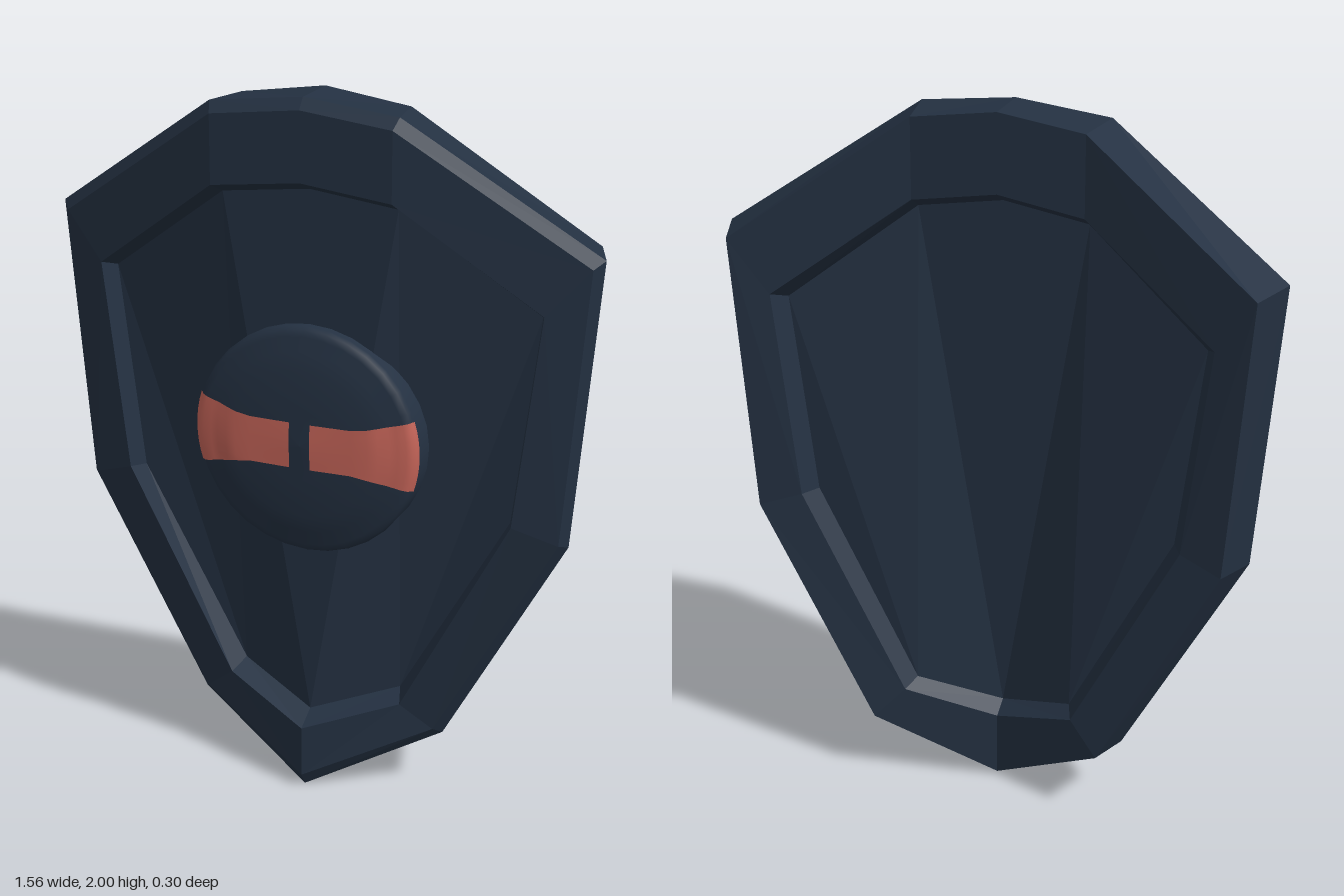
import * as THREE from 'three';

const navy = new THREE.MeshStandardMaterial({ color: 0x243142 });
navy.name = 'darkNavy';
const red = new THREE.MeshStandardMaterial({ color: 0xc8665a });
red.name = 'softRed';

// Half outlines of the shield, running from top centre round its left side to the bottom tip
const rings = {
  panelFront: [[0, 1.75, 0.08], [0.25, 1.72, 0.08], [0.62, 1.45, -0.01], [0.55, 0.86, -0.01], [0.24, 0.3, -0.01], [0, 0.225, 0.08]],
  rimInner: [[0, 1.78, 0.145], [0.255, 1.75, 0.145], [0.64, 1.47, 0.05], [0.57, 0.87, 0.05], [0.26, 0.275, 0.05], [0, 0.19, 0.145]],
  rimFront: [[0, 1.97, 0.145], [0.255, 1.94, 0.145], [0.755, 1.6, 0.02], [0.695, 0.825, 0.02], [0.35, 0.2, 0.02], [0, 0.04, 0.145]],
  rimEdge: [[0, 2, 0.12], [0.265, 1.97, 0.12], [0.78, 1.62, -0.01], [0.715, 0.815, -0.01], [0.37, 0.18, -0.01], [0, 0, 0.12]],
  rimBack: [[0, 2, -0.03], [0.24, 1.965, -0.03], [0.73, 1.615, -0.15], [0.67, 0.83, -0.15], [0.335, 0.2, -0.15], [0, 0.01, -0.03]],
  backInner: [[0, 1.78, -0.03], [0.24, 1.74, -0.03], [0.62, 1.46, -0.125], [0.55, 0.87, -0.125], [0.25, 0.29, -0.12], [0, 0.2, -0.03]],
  panelBack: [[0, 1.75, 0.02], [0.24, 1.71, 0.02], [0.59, 1.44, -0.07], [0.52, 0.87, -0.07], [0.23, 0.31, -0.07], [0, 0.23, 0.02]],
};

// Makes a faceted mesh from triangles, each mirrored across x = 0
function mirroredMesh(name, triangles) {
  const pos = [];
  for (const [a, b, c] of triangles) {
    pos.push(...a, ...b, ...c);
    for (const p of [a, c, b]) pos.push(-p[0], p[1], p[2]);
  }
  const geo = new THREE.BufferGeometry();
  geo.setAttribute('position', new THREE.Float32BufferAttribute(pos, 3));
  geo.computeVertexNormals();
  const mesh = new THREE.Mesh(geo, navy);
  mesh.name = name;
  return mesh;
}

// Strip of faces between neighbouring outlines
function strip(a, b) {
  const tris = [];
  for (let i = 0; i < a.length - 1; i++) {
    tris.push([a[i], a[i + 1], b[i + 1]], [a[i], b[i + 1], b[i]]);
  }
  return tris;
}

// Fills half an outline with two folded faces
function panel(p) {
  return [[p[5], p[4], p[1]], [p[5], p[1], p[0]], [p[4], p[3], p[2]], [p[4], p[2], p[1]]];
}

// Boss profile: radius and z
const profile = [[0.325, 0.02], [0.325, 0.1], [0.318, 0.113], [0.3, 0.121], [0.26, 0.127], [0.21, 0.143], [0.1, 0.147], [0, 0.152]];

function bossHeight(r) {
  for (let i = 1; i < profile.length - 1; i++) {
    const [r0, z0] = profile[i];
    const [r1, z1] = profile[i + 1];
    if (r >= r1) return z0 + (z1 - z0) * Math.min(1, Math.max(0, (r0 - r) / (r0 - r1)));
  }
  return 0.152;
}

// Thin painted band that follows the boss and flares towards its edge
function band(side) {
  const steps = [0, 0.2, 0.4, 0.55, 0.65, 0.75, 0.82, 0.9, 0.95, 0.98, 1];
  const rows = 8;
  const pos = [];
  const index = [];
  steps.forEach((t, i) => {
    const half = 0.065 + 0.035 * Math.max(0, (t - 0.45) / 0.55);
    for (let j = 0; j <= rows; j++) {
      const y = half * (j / rows * 2 - 1);
      const x = 0.03 + t * (Math.sqrt(0.328 ** 2 - y * y) - 0.03);
      pos.push(side * x, y, bossHeight(Math.hypot(x, y)) + 0.004);
      if (i && j) {
        const d = i * (rows + 1) + j;
        const b = d - rows - 1;
        if (side > 0) index.push(b - 1, d - 1, d, b - 1, d, b);
        else index.push(b - 1, d, d - 1, b - 1, b, d);
      }
    }
  });
  const geo = new THREE.BufferGeometry();
  geo.setAttribute('position', new THREE.Float32BufferAttribute(pos, 3));
  geo.setIndex(index);
  geo.computeVertexNormals();
  const mesh = new THREE.Mesh(geo, red);
  mesh.name = side > 0 ? 'leftBand' : 'rightBand';
  return mesh;
}

export function createModel() {
  const shield = new THREE.Group();
  shield.name = 'shield';

  // Raised frame and the two sunken panels
  const loops = Object.values(rings);
  const rim = [];
  for (let i = 0; i < loops.length - 1; i++) rim.push(...strip(loops[i], loops[i + 1]));
  shield.add(mirroredMesh('rim', rim));
  shield.add(mirroredMesh('frontPanel', panel(rings.panelFront)));
  shield.add(mirroredMesh('backPanel', panel(rings.panelBack).map(([a, b, c]) => [a, c, b])));

  // Round boss with its two bands
  const boss = new THREE.Group();
  boss.name = 'boss';
  boss.position.y = 1.055;
  const points = profile.map(([r, z]) => new THREE.Vector2(r, z));
  const dome = new THREE.Mesh(new THREE.LatheGeometry(points, 32).rotateX(Math.PI / 2), navy);
  dome.name = 'dome';
  boss.add(dome, band(1), band(-1));
  shield.add(boss);

  return shield;
}
